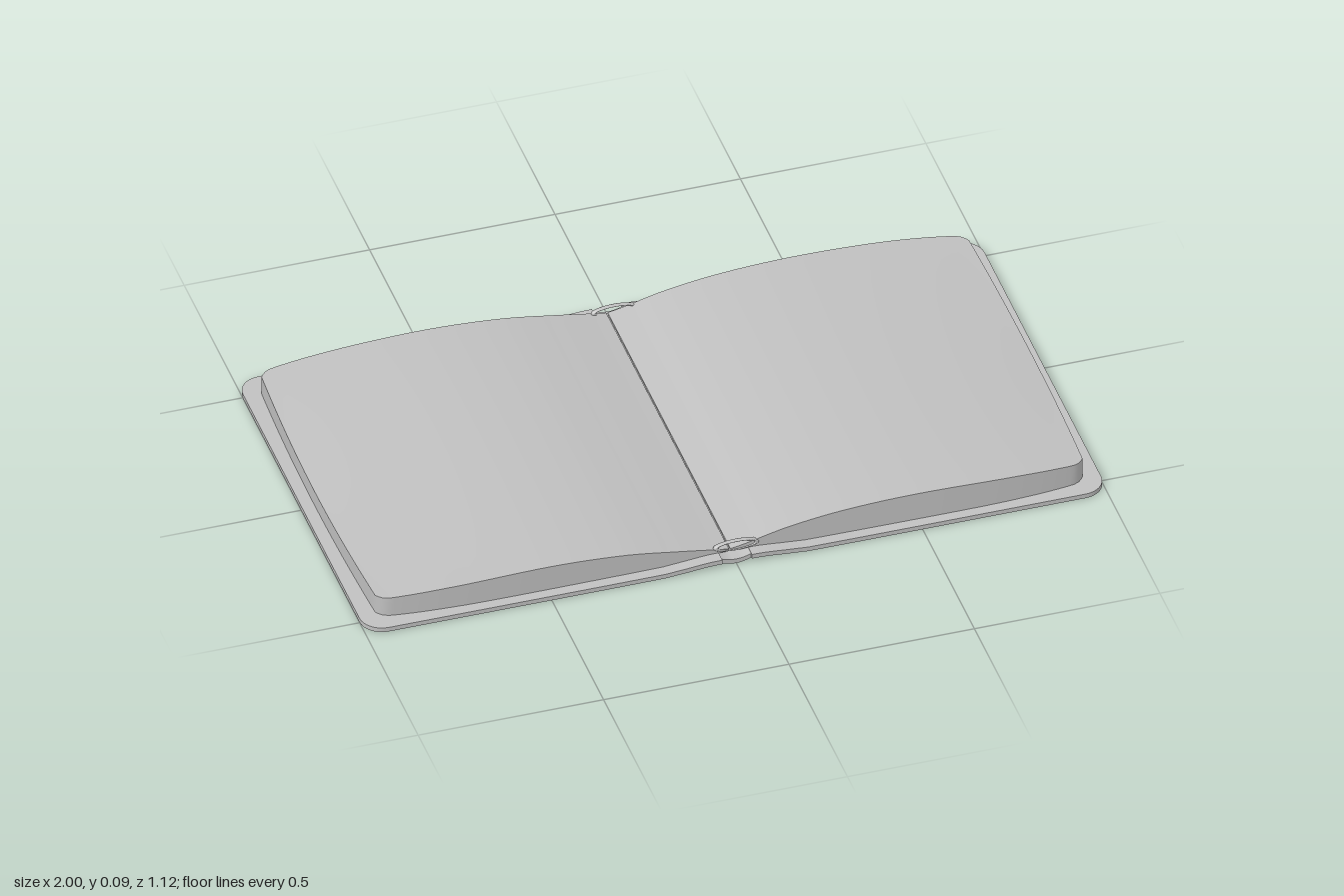
import * as THREE from 'three';
import { toCreasedNormals } from 'three/addons/utils/BufferGeometryUtils.js';

// Linear interpolation through [x, y] points
function curve(points) {
  const c = new THREE.SplineCurve(points.map(p => new THREE.Vector2(...p))).getPoints(80);
  return x => {
    if (x <= c[0].x) return c[0].y;
    for (let i = 1; i < c.length; i++) {
      if (x <= c[i].x) return THREE.MathUtils.mapLinear(x, c[i - 1].x, c[i].x, c[i - 1].y, c[i].y);
    }
    return c[c.length - 1].y;
  };
}

// A box bent by a rule: place(x, v, top) gives the new position, v runs -1..1 along z
function slab(name, xs, place, material, nz = 16) {
  const n = xs.length - 1;
  const geo = new THREE.BoxGeometry(n, 1, 2, n, 1, nz);
  const p = geo.attributes.position;
  for (let i = 0; i < p.count; i++) {
    const x = xs[Math.round(p.getX(i) + n / 2)];
    p.setXYZ(i, ...place(x, p.getZ(i), p.getY(i) > 0));
  }
  const mesh = new THREE.Mesh(toCreasedNormals(geo, 0.6), material);
  mesh.name = name;
  return mesh;
}

const range = (a, b, n) => Array.from({ length: n + 1 }, (_, i) => a + (b - a) * i / n);

export function createModel() {
  const book = new THREE.Group();
  book.name = 'openBook';
  const grey = new THREE.MeshStandardMaterial({ color: 0xc0c0c0 });
  grey.name = 'plainGrey';

  // Cover boards: rounded outer corners, lifted slightly at the hinge
  const lift = curve([[0.04, 0.011], [0.08, 0.01], [0.16, 0.003], [0.25, 0], [1, 0]]);
  const r = 0.06;
  const coverXs = [...range(0.04, 0.25, 7), ...range(0.35, 0.94, 5),
    ...range(1, 8, 8 - 1).map(i => 1 - r + r * Math.sin(i / 8 * Math.PI / 2))];
  for (const side of [-1, 1]) {
    const xs = side > 0 ? coverXs : coverXs.map(x => -x).reverse();
    book.add(slab(side > 0 ? 'leftCover' : 'rightCover', xs, (x, v, top) => {
      const ax = Math.abs(x);
      const d = Math.max(0, ax - (1 - r));
      const half = 0.558 - r + Math.sqrt(Math.max(0, r * r - d * d));
      return [x, lift(ax) + (top ? 0.013 : 0), v * half];
    }, grey));
  }

  // Spine: shallow trough between the boards
  book.add(slab('spine', range(-0.045, 0.045, 10), (x, v, top) => {
    const y = 0.011 * (x / 0.045) ** 2;
    return [x, y + (top ? 0.013 : 0), v * 0.55];
  }, grey, 2));

  // Page blocks: arched tops falling to the gutter, sagging outer edge
  const tops = {
    '-1': curve([[0.012, 0.03], [0.05, 0.036], [0.15, 0.053], [0.3, 0.075], [0.5, 0.085], [0.75, 0.078], [0.97, 0.067]]),
    '1': curve([[0, 0.03], [0.05, 0.042], [0.15, 0.066], [0.3, 0.086], [0.5, 0.094], [0.75, 0.087], [0.97, 0.072]]),
  };
  const outline = curve([[0, 0.525], [0.6, 0.528], [0.8, 0.523], [0.92, 0.512], [0.95, 0.503], [0.966, 0.485]]);
  for (const side of [-1, 1]) {
    const inner = side > 0 ? -0.008 : 0.012;
    const half = [...range(inner, 0.9, 26), 0.92, 0.935, 0.95, 0.96, 0.966];
    const xs = side > 0 ? half : half.map(x => -x).reverse();
    book.add(slab(side > 0 ? 'leftPages' : 'rightPages', xs, (x, v, top) => {
      const ax = side * x;
      const out = Math.max(0, ax) ** 4;
      const sag = 0.011 * out * Math.cos(v * Math.PI / 2);
      const px = x - side * 0.014 * out * v * v;
      const y = top ? tops[side](ax) - sag : lift(Math.max(0.04, ax)) + 0.012;
      return [px, y, v * outline(Math.max(0, ax))];
    }, grey, 24));
  }

  // Headbands: flattened loops at both ends of the gutter
  for (const side of [-1, 1]) {
    const band = new THREE.Mesh(new THREE.TorusGeometry(0.055, 0.007, 8, 32), grey);
    band.name = side > 0 ? 'frontHeadband' : 'backHeadband';
    band.scale.set(1, 0.24, 1);
    band.position.set(0.008, 0.038, side * 0.522);
    book.add(band);
  }
  return book;
}
